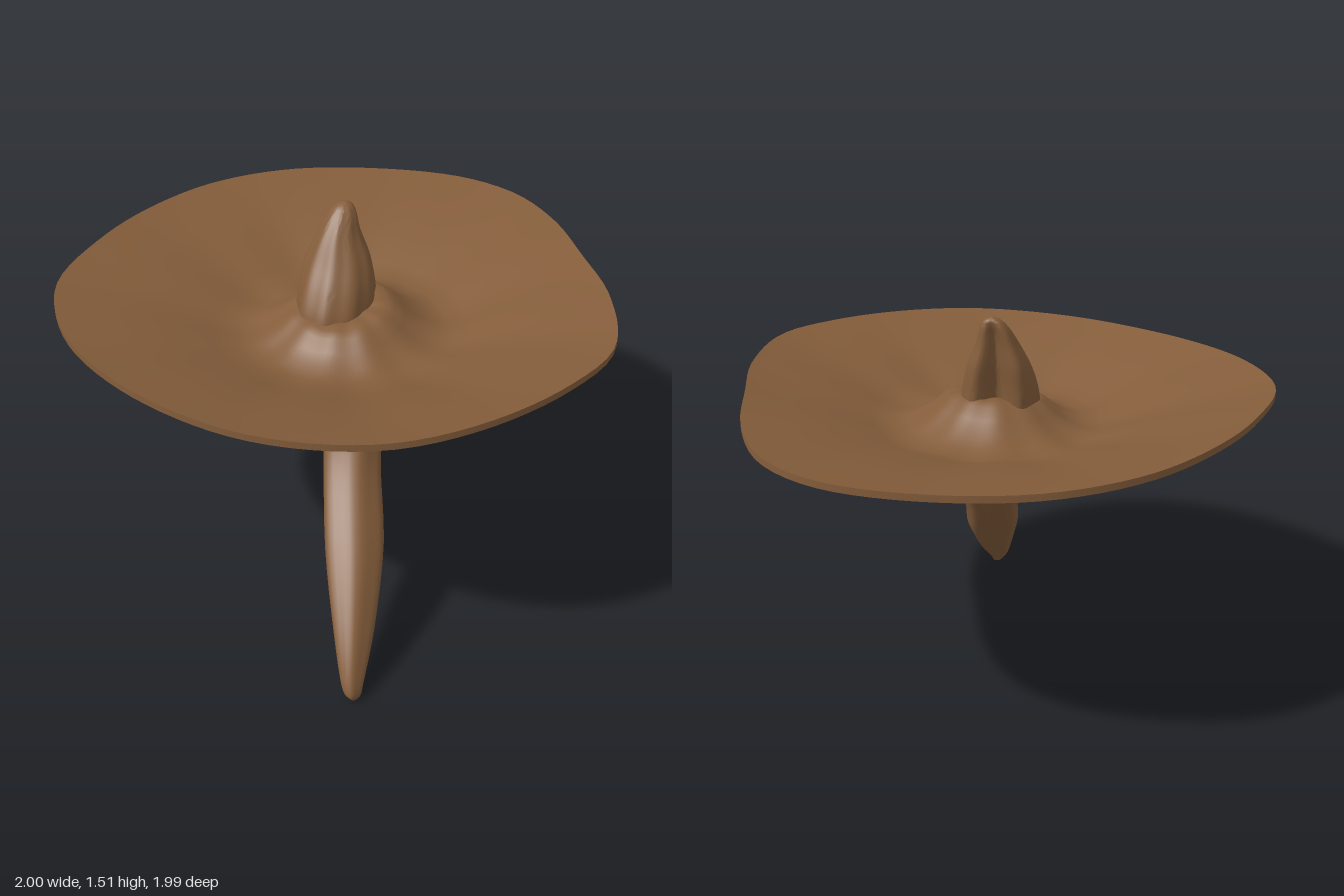
import * as THREE from 'three';
import { toCreasedNormals } from 'three/addons/utils/BufferGeometryUtils.js';

const bark = new THREE.MeshStandardMaterial({ color: 0x845d3b });
bark.name = 'brown';

// Skins a stack of closed rings; point(j, i) returns [x, y, z]
function loft(name, rows, cols, point, crease = 0.7) {
  const pos = [], idx = [];
  for (let j = 0; j < rows; j++) {
    for (let i = 0; i < cols; i++) pos.push(...point(j, i));
  }
  for (let j = 0; j < rows - 1; j++) {
    for (let i = 0; i < cols; i++) {
      const a = j * cols + i, b = j * cols + (i + 1) % cols;
      idx.push(a, a + cols, b, b, a + cols, b + cols);
    }
  }
  const geo = new THREE.BufferGeometry();
  geo.setAttribute('position', new THREE.Float32BufferAttribute(pos, 3));
  geo.setIndex(idx);
  const mesh = new THREE.Mesh(toCreasedNormals(geo, crease), bark);
  mesh.name = name;
  return mesh;
}

// Smoothly resamples a list of number rows, t in 0..1
function sample(rows, t) {
  const f = t * (rows.length - 1), k = Math.min(Math.floor(f), rows.length - 2), u = f - k;
  const at = n => rows[Math.max(0, Math.min(rows.length - 1, n))];
  return rows[0].map((_, c) => {
    const [p, q, r, s] = [at(k - 1)[c], at(k)[c], at(k + 1)[c], at(k + 2)[c]];
    return q + 0.5 * u * (r - p + u * (2 * p - 5 * q + 4 * r - s + u * (3 * (q - r) + s - p)));
  });
}

// Gap between two angles, in -PI..PI
const turn = (a, b) => Math.atan2(Math.sin(a - b), Math.cos(a - b));

// Wide wavy brim with a bowl below and a raised collar above
function makeBrim() {
  const outline = [
    [0, -1], [0.27, -0.95], [0.5, -0.78], [0.7, -0.53], [0.88, -0.28], [1, 0.05], [0.94, 0.32],
    [0.78, 0.61], [0.56, 0.83], [0.29, 0.95], [0, 0.99], [-0.4, 0.93], [-0.72, 0.78],
    [-0.94, 0.53], [-1, 0.19], [-0.98, -0.13], [-0.88, -0.45], [-0.67, -0.72], [-0.35, -0.91],
  ].map(([x, z]) => new THREE.Vector3(x, 0, z));
  const cols = 96;
  const edge = new THREE.CatmullRomCurve3(outline, true).getSpacedPoints(cols);
  // radius, height: underside outward, over the rim, then back in to the collar
  const profile = [
    [0.001, 0.82], [0.1, 0.82], [0.175, 0.82], [0.195, 0.835], [0.225, 0.87], [0.26, 0.93],
    [0.3, 0.98], [0.36, 1.025], [0.45, 1.06], [0.6, 1.1], [0.8, 1.155], [0.93, 1.188], [1, 1.205],
    [1, 1.23], [0.93, 1.213], [0.8, 1.183], [0.6, 1.13], [0.48, 1.085], [0.4, 1.06], [0.34, 1.062],
    [0.28, 1.085], [0.23, 1.12], [0.19, 1.155], [0.16, 1.17], [0.12, 1.17], [0.001, 1.16],
  ];
  const cz = 0.09;
  return loft('brim', profile.length, cols, (j, i) => {
    const [r, h] = profile[j], p = edge[i];
    const reach = Math.hypot(p.x, p.z - cz), a = Math.atan2(p.z - cz, p.x);
    const radius = r * (1 + (reach - 1) * r * r);
    const x = radius * Math.cos(a), z = radius * Math.sin(a);
    let y = h + r * r * (0.014 * Math.cos(2 * a) - 0.006 * Math.sin(a));
    if (j > 13) {
      y += 0.004 * Math.sin(11 * a) * r * (1 - r) * 4;      // faint radial folds
      y -= 0.24 * z * Math.max(0, 1 - r / 0.4);             // collar is higher at the back
    }
    return [x, y, z + cz];
  }, 0.6);
}

// Slanting stalk, built upward from its foot
function makeStalk() {
  // y, centre x, centre z, half width x, half width z
  const sections = [
    [0.0, 0.41, 0.81, 0.002, 0.002], [0.015, 0.408, 0.805, 0.02, 0.03],
    [0.06, 0.392, 0.785, 0.036, 0.055], [0.2, 0.333, 0.655, 0.068, 0.095],
    [0.4, 0.233, 0.46, 0.102, 0.12], [0.6, 0.128, 0.275, 0.104, 0.112],
    [0.72, 0.085, 0.175, 0.108, 0.125], [0.82, 0.062, 0.1, 0.118, 0.155],
    [0.88, 0.05, 0.08, 0.1, 0.12],
  ];
  const rows = 33, cols = 32;
  return loft('stalk', rows, cols, (j, i) => {
    const t = j / (rows - 1), a = i / cols * Math.PI * 2;
    const [y, x, z, w, d] = sample(sections, t);
    const ridge = 1 + 0.05 * Math.cos(5 * a + 3 * t)
      - 0.16 * Math.exp(-((turn(a, -2.2) / 0.4) ** 2));   // groove along the back
    return [x + w * Math.cos(a) * ridge, Math.max(0, y), z + d * Math.sin(a) * ridge];
  }, 0.9);
}

// Pointed hood rising from the collar, hollowed at the back
function makeHood() {
  const sections = [
    [1.08, -0.035, 0.07, 0.14, 0.175], [1.16, -0.04, 0.06, 0.14, 0.165],
    [1.24, -0.047, 0.04, 0.133, 0.142], [1.32, -0.057, 0.013, 0.115, 0.113],
    [1.4, -0.063, -0.007, 0.079, 0.08], [1.46, -0.062, -0.027, 0.056, 0.055],
    [1.495, -0.06, -0.04, 0.033, 0.033], [1.51, -0.058, -0.045, 0.002, 0.002],
  ];
  const rows = 29, cols = 64;
  return loft('hood', rows, cols, (j, i) => {
    const t = j / (rows - 1), a = i / cols * Math.PI * 2;
    const [y, x, z, w, d] = sample(sections, t);
    const hollow = 0.7 * Math.min(1, (1 - t) * 3) * Math.exp(-((turn(a, -1.95) / 0.55) ** 4));
    const k = (1 + 0.025 * Math.cos(9 * a + 2 * t)) * (1 - hollow);
    return [x + w * Math.cos(a) * k, y, z + d * Math.sin(a) * k];
  }, 0.8);
}

export function createModel() {
  const group = new THREE.Group();
  group.name = 'hoodedBloom';
  group.add(makeBrim(), makeStalk(), makeHood());
  return group;
}
